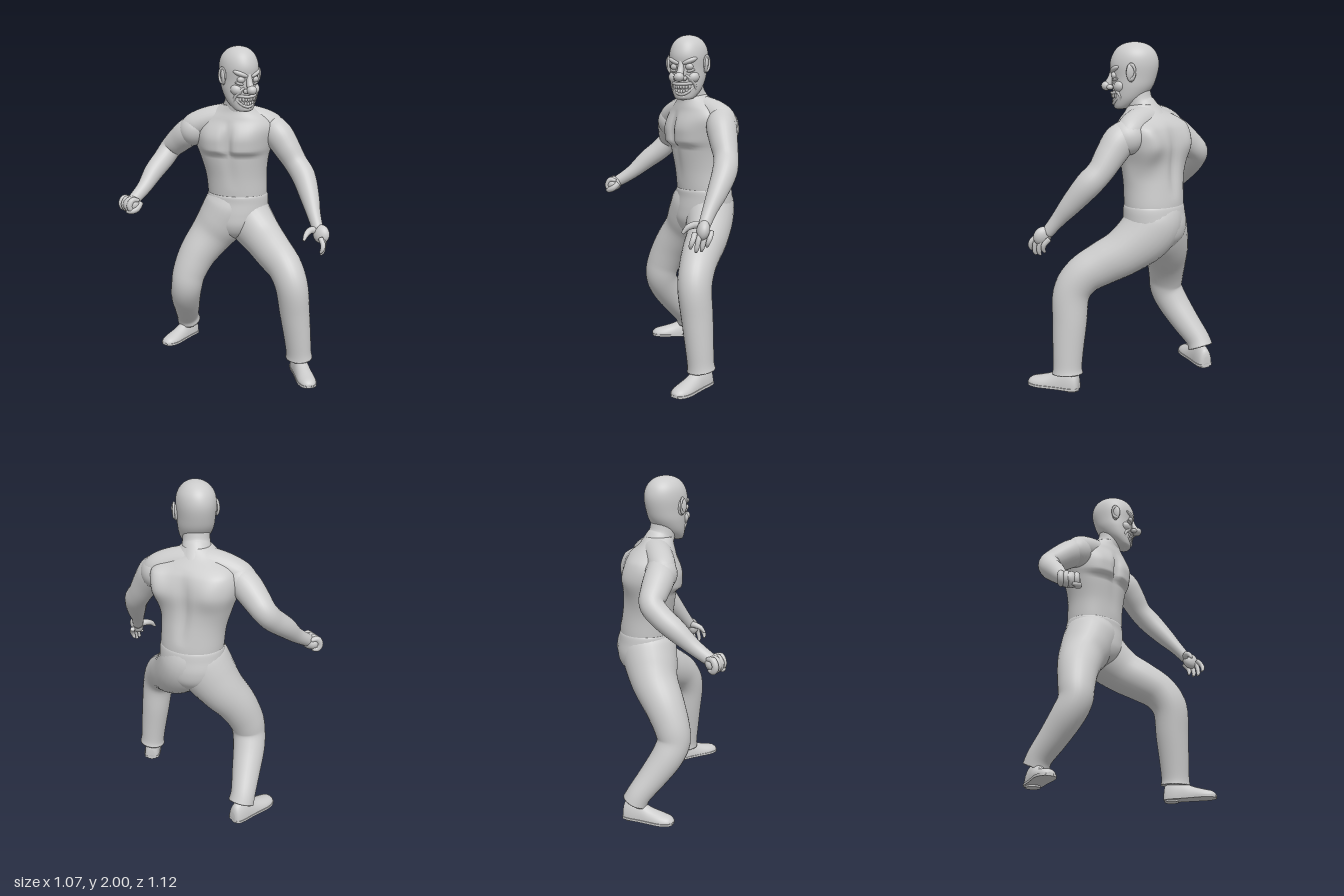
import * as THREE from 'three';

const V = (x, y, z) => new THREE.Vector3(x, y, z);
const ramp = THREE.MathUtils.smoothstep;
const TURN = 0.73; // torso twist: right shoulder drawn back

// Smoothly resample rows of numbers with a Catmull-Rom rule
function resample(rows, steps) {
  const out = [], last = rows.length - 1;
  const at = i => rows[Math.min(last, Math.max(0, i))];
  for (let s = 0; s <= last * steps; s++) {
    const i = Math.min(last - 1, Math.floor(s / steps)), t = s / steps - i;
    out.push(rows[0].map((_, k) => {
      const [a, b, c, d] = [at(i - 1)[k], at(i)[k], at(i + 1)[k], at(i + 2)[k]];
      return b + 0.5 * t * (c - a + t * (2 * a - 5 * b + 4 * c - d + t * (3 * (b - c) + d - a)));
    }));
  }
  return out;
}

// Skin closed loops of points, capping both ends
function skin(loops) {
  const mid = l => l.reduce((s, p) => s.add(p), V(0, 0, 0)).divideScalar(l.length);
  const n = loops[0].length, ends = [loops[0], loops[loops.length - 1]].map(l => l.map(() => mid(l)));
  const all = [ends[0], ...loops, ends[1]], index = [];
  for (let i = 0; i < all.length - 1; i++) for (let j = 0; j < n; j++) {
    const a = i * n + j, b = i * n + (j + 1) % n;
    index.push(a, b, a + n, b, b + n, a + n);
  }
  const g = new THREE.BufferGeometry().setFromPoints(all.flat());
  g.setIndex(index);
  g.computeVertexNormals();
  return g;
}

// Level rings: [x, y, z, halfWidth, halfDepth]
function body(rows, yaw, rule = (x, z) => [x, z], n = 64) {
  return skin(resample(rows, 7).map(([cx, y, cz, a, b]) => Array.from({ length: n }, (_, j) => {
    const f = j / n * Math.PI * 2;
    const [x, z] = rule(Math.max(a, 0.001) * Math.cos(f), -Math.max(b, 0.001) * Math.sin(f), y);
    return V(cx + x * Math.cos(yaw) - z * Math.sin(yaw), y, cz + x * Math.sin(yaw) + z * Math.cos(yaw));
  })));
}

// Rings square to a path: [x, y, z, radius]; squash narrows them in x
function limb(rows, squash = 1, ref = V(1, 0, 0), n = 28) {
  const pts = resample(rows, 5);
  return skin(pts.map((p, i) => {
    const q = pts[Math.max(0, i - 1)], r = pts[Math.min(pts.length - 1, i + 1)];
    const d = V(r[0] - q[0], r[1] - q[1], r[2] - q[2]).normalize();
    const u = ref.clone().cross(d).normalize(), v = d.clone().cross(u);
    return Array.from({ length: n }, (_, j) => {
      const f = j / n * Math.PI * 2;
      const o = u.clone().multiplyScalar(Math.cos(f) * p[3]).addScaledVector(v, Math.sin(f) * p[3]);
      return V(p[0] + o.x * squash, p[1] + o.y, p[2] + o.z);
    });
  }));
}

// Torso relief in its twisted frame: chest, shoulder blades, spine and breastbone grooves
function relief(x, z, y) {
  const side = Math.abs(x);
  const groove = Math.exp(-((x / 0.035) ** 2)) * Math.max(0, 1 - ((y - 1.34) / 0.22) ** 2);
  if (z < 0) {
    const blade = Math.exp(-(((side - 0.13) / 0.06) ** 2) - ((y - 1.44) / 0.09) ** 2);
    const upper = ramp(y, 1.22, 1.44) * (1 - ramp(y, 1.52, 1.6)) * ramp(-z, 0, 0.06);
    const flare = (x > 0 ? 0.055 : 0.015) * Math.exp(-(((side - 0.2) / 0.065) ** 2));
    return [x, z + 0.022 * groove - 0.016 * blade - upper * (0.014 + flare)];
  }
  const lower = 1.335 + 0.9 * Math.max(0, side - 0.11) ** 2;
  const chest = ramp(y, lower, lower + 0.035) * (1 - ramp(y, 1.43, 1.57));
  const across = (1 - Math.exp(-((x / 0.022) ** 2))) * (1 - ramp(side, 0.12, 0.25));
  return [x, z - 0.008 * groove + 0.034 * chest * across];
}

export function createModel() {
  const model = new THREE.Group();
  const mat = new THREE.MeshStandardMaterial({ color: 0xcccccc, roughness: 0.8, side: THREE.DoubleSide });
  const add = (name, geo, parent = model) => {
    const m = new THREE.Mesh(geo, mat);
    m.name = name;
    parent.add(m);
    return m;
  };
  const blob = (name, pos, size, rot = [0, 0, 0], parent = model) => {
    const m = add(name, new THREE.SphereGeometry(1, 28, 18), parent);
    m.position.set(...pos); m.scale.set(...size); m.rotation.set(...rot);
    return m;
  };

  // Bare torso, shoulder girdle and neck
  add('torso', body([
    [0.213, 1.0, -0.175, 0.18, 0.15], [0.212, 1.08, -0.175, 0.189, 0.159], [0.2, 1.2, -0.172, 0.194, 0.158],
    [0.182, 1.32, -0.168, 0.217, 0.158], [0.176, 1.42, -0.166, 0.248, 0.158], [0.174, 1.5, -0.155, 0.255, 0.15],
    [0.168, 1.56, -0.145, 0.22, 0.13], [0.162, 1.61, -0.125, 0.14, 0.1], [0.16, 1.65, -0.11, 0.085, 0.085]
  ], TURN, relief));
  add('shoulderGirdle', limb([[-0.08, 1.48, -0.295, 0.06], [-0.04, 1.51, -0.275, 0.078], [0.05, 1.547, -0.215, 0.085],
    [0.163, 1.555, -0.14, 0.097], [0.285, 1.545, -0.075, 0.085], [0.37, 1.51, -0.035, 0.08], [0.41, 1.475, -0.01, 0.06]],
  1, V(0, 1, 0)));
  add('neck', limb([[0.168, 1.55, -0.135, 0.115], [0.163, 1.62, -0.108, 0.09], [0.158, 1.67, -0.085, 0.078],
    [0.152, 1.76, -0.07, 0.076]]));

  // Trousers: each leg starts at the waist so the hips flow into the thighs
  add('trouserSeat', body([
    [0.19, 0.79, -0.165, 0.05, 0.07], [0.195, 0.83, -0.168, 0.125, 0.13], [0.203, 0.89, -0.176, 0.183, 0.168],
    [0.209, 0.96, -0.18, 0.2, 0.175], [0.213, 1.03, -0.177, 0.197, 0.167], [0.212, 1.07, -0.175, 0.193, 0.163],
    [0.212, 1.085, -0.175, 0.186, 0.156]
  ], TURN));
  add('leftTrouserLeg', limb([
    [0.228, 1.08, -0.178, 0.14], [0.245, 0.99, -0.175, 0.168], [0.27, 0.9, -0.115, 0.162], [0.298, 0.81, 0.0, 0.139],
    [0.308, 0.745, 0.12, 0.127], [0.322, 0.675, 0.235, 0.115], [0.332, 0.57, 0.302, 0.108], [0.352, 0.4, 0.312, 0.1],
    [0.37, 0.24, 0.322, 0.09], [0.38, 0.14, 0.326, 0.085], [0.384, 0.1, 0.326, 0.09]], 0.9));
  add('rightTrouserLeg', limb([
    [0.195, 1.08, -0.18, 0.14], [0.172, 0.99, -0.195, 0.166], [0.122, 0.89, -0.222, 0.16], [0.06, 0.795, -0.25, 0.14],
    [-0.03, 0.68, -0.262, 0.122], [-0.093, 0.56, -0.263, 0.108], [-0.112, 0.47, -0.266, 0.101], [-0.1, 0.38, -0.31, 0.097],
    [-0.06, 0.27, -0.385, 0.086], [-0.02, 0.17, -0.46, 0.075], [0, 0.115, -0.482, 0.078]]));

  // Shoes: toe along local +z
  function shoe(name, x, z, yaw) {
    const g = new THREE.Group();
    g.name = name;
    g.position.set(x, 0, z); g.rotation.y = yaw;
    model.add(g);
    const rows = resample([[-0.075, 0.022, 0.05], [-0.062, 0.042, 0.09], [-0.02, 0.05, 0.11], [0.04, 0.05, 0.098],
      [0.1, 0.053, 0.068], [0.17, 0.056, 0.046], [0.22, 0.043, 0.032], [0.243, 0.018, 0.012]], 4);
    add('upper', skin(rows.map(([zz, w, h]) => Array.from({ length: 28 }, (_, j) => {
      const f = j / 28 * Math.PI * 2;
      return V(w * Math.cos(f), 0.022 + h * Math.max(0, Math.sin(f)), zz);
    }))), g);
    const outline = new THREE.Shape([...rows.map(r => new THREE.Vector2(r[1] + 0.004, -r[0])),
      ...rows.slice().reverse().map(r => new THREE.Vector2(-r[1] - 0.004, -r[0]))]);
    const sole = add('sole', new THREE.ExtrudeGeometry(outline, { depth: 0.014, bevelEnabled: false }), g);
    sole.rotation.x = -Math.PI / 2; sole.position.y = 0.01;
    const heel = add('heel', new THREE.CylinderGeometry(0.045, 0.043, 0.03, 24), g);
    heel.position.set(0, 0.015, -0.03);
  }
  shoe('leftShoe', 0.385, 0.33, -0.3);
  shoe('rightShoe', -0.005, -0.485, -1.14);

  // Arms
  blob('leftShoulder', [0.378, 1.478, -0.015], [0.088, 0.098, 0.108], [0.3, 0, 0.2]);
  add('leftArm', limb([
    [0.34, 1.535, -0.06, 0.03], [0.36, 1.505, -0.025, 0.076], [0.387, 1.46, 0.022, 0.092], [0.418, 1.385, 0.072, 0.085],
    [0.45, 1.3, 0.125, 0.074], [0.466, 1.225, 0.195, 0.074], [0.454, 1.12, 0.285, 0.06], [0.437, 1.03, 0.36, 0.043],
    [0.427, 0.95, 0.425, 0.034]], 0.95));
  blob('rightShoulder', [-0.04, 1.478, -0.285], [0.096, 0.098, 0.09], [0.2, 0, -0.2]);
  add('rightArm', limb([
    [0.0, 1.53, -0.255, 0.03], [-0.025, 1.505, -0.28, 0.072], [-0.062, 1.46, -0.32, 0.087], [-0.098, 1.4, -0.39, 0.08],
    [-0.13, 1.345, -0.443, 0.07], [-0.185, 1.285, -0.432, 0.067], [-0.27, 1.215, -0.398, 0.061],
    [-0.36, 1.13, -0.35, 0.045], [-0.46, 1.06, -0.305, 0.036]]));

  // Open left hand
  blob('leftPalm', [0.432, 0.935, 0.45], [0.036, 0.056, 0.052], [-0.5, 0.5, 0]);
  for (let i = 0; i < 4; i++) {
    const x = 0.4 + i * 0.022, z = 0.505 - i * 0.027, drop = [0, 0.022, 0.02, 0][i];
    add('leftFinger', limb([[x, 0.925, z - 0.015, 0.015], [x, 0.895, z + 0.012, 0.015],
      [x - 0.008, 0.867 - drop, z + 0.02, 0.013], [x - 0.016, 0.845 - drop, z + 0.012, 0.007]], 1, V(1, 0, 0), 12));
  }
  add('leftThumb', limb([[0.415, 0.955, 0.42, 0.022], [0.375, 0.957, 0.42, 0.02], [0.338, 0.942, 0.435, 0.016],
    [0.312, 0.91, 0.448, 0.008]], 1, V(0, 0, 1), 12));

  // Clenched right hand
  blob('rightFist', [-0.468, 1.053, -0.297], [0.052, 0.046, 0.064], [0, 0.2, 0.4]);
  for (let i = 0; i < 4; i++) {
    const z = -0.342 + i * 0.029, o = i * 0.007;
    add('rightFinger', limb([[-0.455 + o, 1.078, z, 0.012], [-0.495 + o, 1.083, z, 0.018], [-0.514 + o, 1.05, z, 0.019],
      [-0.5 + o, 1.02, z, 0.018], [-0.468 + o, 1.022, z, 0.012]], 1, V(0, 0, 1), 12));
  }
  add('rightThumb', limb([[-0.42, 1.06, -0.265, 0.02], [-0.45, 1.03, -0.245, 0.02], [-0.485, 1.015, -0.25, 0.017],
    [-0.505, 1.01, -0.275, 0.008]], 1, V(0, 1, 0), 12));

  // Head, in its own frame centred on x
  const head = new THREE.Group();
  head.name = 'head';
  head.position.x = 0.151;
  model.add(head);
  add('skull', body([
    [0, 1.622, 0.02, 0.035, 0.025], [0, 1.635, 0.005, 0.06, 0.05], [0, 1.68, -0.025, 0.087, 0.085],
    [0, 1.74, -0.048, 0.102, 0.113], [0, 1.8, -0.058, 0.107, 0.128], [0, 1.87, -0.06, 0.112, 0.14],
    [0, 1.925, -0.062, 0.104, 0.128], [0, 1.965, -0.062, 0.08, 0.1], [0, 1.99, -0.062, 0.045, 0.057],
    [0, 2.0, -0.062, 0, 0]], 0), head);
  blob('nose', [0, 1.752, 0.1], [0.03, 0.027, 0.03], [0, 0, 0], head);
  add('noseBridge', limb([[0, 1.85, 0.06, 0.016], [0, 1.8, 0.072, 0.019], [0, 1.76, 0.09, 0.023]], 1, V(1, 0, 0), 14), head);
  for (const s of [-1, 1]) {
    blob('brow', [s * 0.046, 1.845, 0.05], [0.048, 0.017, 0.024], [0, s * 0.45, s * 0.35], head);
    blob('eye', [s * 0.045, 1.812, 0.053], [0.025, 0.02, 0.02], [0, 0, 0], head);
    blob('eyeBag', [s * 0.05, 1.789, 0.042], [0.028, 0.01, 0.02], [0, s * 0.5, s * 0.25], head);
    blob('cheek', [s * 0.056, 1.75, 0.022], [0.04, 0.034, 0.036], [0, s * 0.5, s * 0.5], head);
    blob('nostril', [s * 0.025, 1.745, 0.079], [0.016, 0.015, 0.02], [0, 0, 0], head);
    // Ear with a raised rim
    blob('ear', [s * 0.116, 1.825, -0.04], [0.013, 0.05, 0.027], [0.1, s * 0.35, s * -0.12], head);
    const rim = add('earRim', new THREE.TorusGeometry(0.023, 0.007, 8, 28), head);
    rim.position.set(s * 0.121, 1.832, -0.042); rim.scale.y = 1.7;
    rim.rotation.set(0, Math.PI / 2 - s * 0.35, 0);
    // Smile fold from nose to mouth corner
    add('smileFold', limb([[s * 0.028, 1.765, 0.06, 0.007], [s * 0.06, 1.735, 0.045, 0.01], [s * 0.073, 1.695, 0.02, 0.008],
      [s * 0.06, 1.66, 0.015, 0.006]], 1, V(0, 0, 1), 10), head);
  }
  for (const y of [1.885, 1.905]) add('foreheadLine', limb([-0.05, -0.025, 0, 0.025, 0.05]
    .map(x => [x, y - 0.1 * Math.abs(x), 0.073 - 9 * x * x - (y - 1.885) * 0.7, 0.005]), 1, V(0, 1, 0), 8), head);
  // Grinning mouth: two lips and two rows of teeth
  const arc = (y, bend, r, z) => [-0.064, -0.035, 0, 0.035, 0.064].map(x => [x, y + bend * x * x, z - 9 * x * x, r]);
  add('upperLip', limb(arc(1.712, 1.5, 0.009, 0.07), 1, V(0, 1, 0), 10), head);
  add('lowerLip', limb(arc(1.652, 11, 0.009, 0.06), 1, V(0, 1, 0), 10), head);
  for (let i = -3; i <= 3; i++) {
    const x = i * 0.0155;
    blob('upperTooth', [x, 1.697, 0.066 - 9 * x * x], [0.0085, 0.014, 0.008], [0, 0, 0], head);
    blob('lowerTooth', [x, 1.669 + 7 * x * x, 0.06 - 9 * x * x], [0.008, 0.012, 0.008], [0, 0, 0], head);
  }
  blob('chin', [0, 1.638, 0.03], [0.036, 0.02, 0.028], [0, 0, 0], head);
  return model;
}
